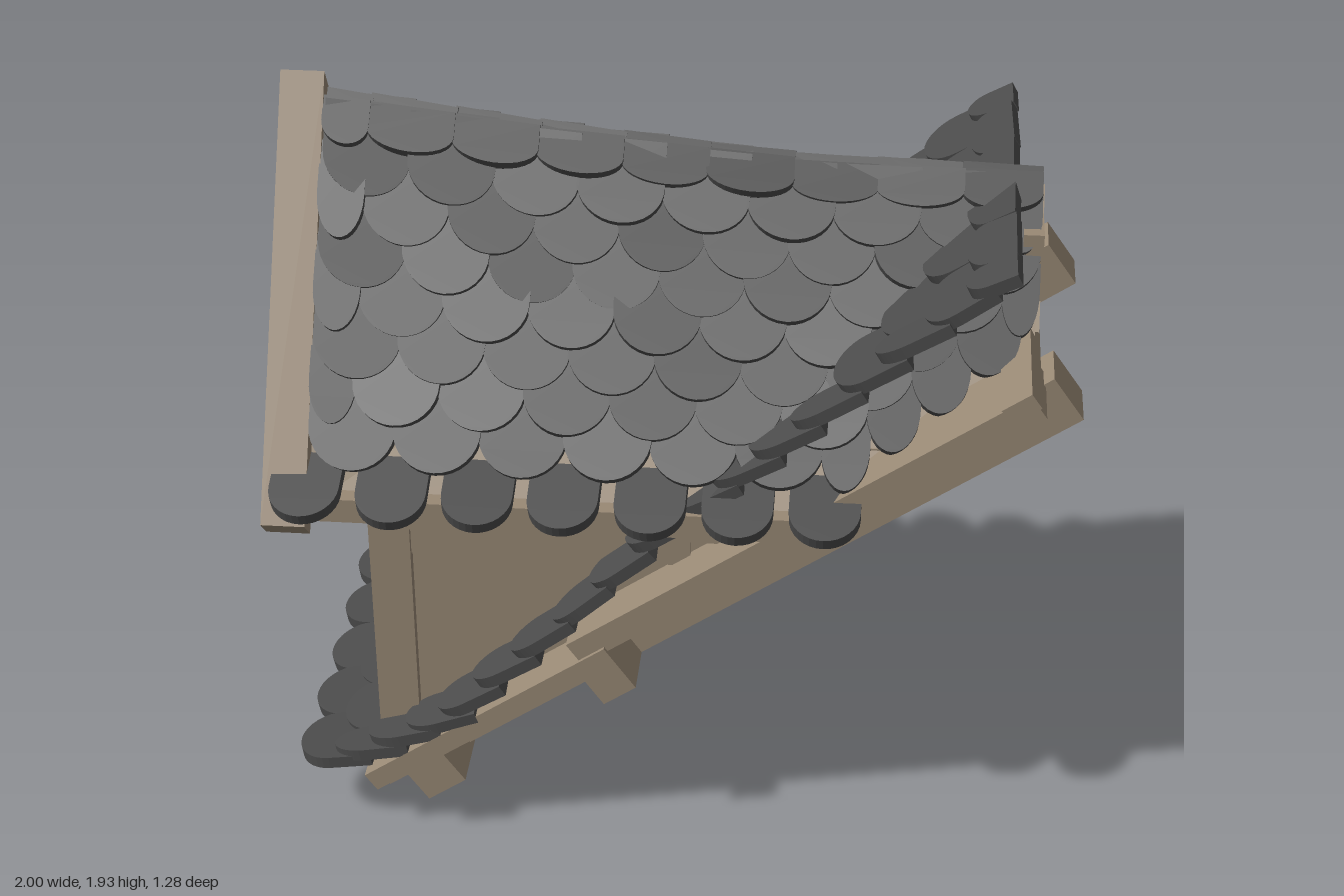
import * as THREE from 'three';
import { mergeGeometries } from 'three/addons/utils/BufferGeometryUtils.js';

const mat = (name, color) => {
  const m = new THREE.MeshStandardMaterial({ color });
  m.name = name;
  return m;
};
const V = (x, y, z) => new THREE.Vector3(x, y, z);

export function createModel() {
  const root = new THREE.Group();
  root.name = 'dormer';
  const wood = mat('wood', 0x998975);
  const slate = mat('slate', 0x4b4b4b);
  const glass = mat('glass', 0xc8c8c8);
  const lead = mat('lead', 0x4a4843);
  slate.side = wood.side = THREE.DoubleSide;

  let seed = 7;
  const rand = () => (seed = (seed * 16807) % 2147483647) / 2147483647;
  const add = (name, geo, material = wood, parent = root) => {
    const m = new THREE.Mesh(geo, material);
    m.name = name;
    parent.add(m);
    return m;
  };
  // box from its minimum and maximum corners
  const box = (name, x0, x1, y0, y1, z0, z1, material = wood, parent = root) =>
    add(name, new THREE.BoxGeometry(x1 - x0, y1 - y0, z1 - z0)
      .translate((x0 + x1) / 2, (y0 + y1) / 2, (z0 + z1) / 2), material, parent);
  const shape = (pts) => new THREE.Shape(pts.map((p) => new THREE.Vector2(...p)));
  const extrude = (s, depth) => new THREE.ExtrudeGeometry(s, { depth, bevelEnabled: false, curveSegments: 8 });
  // (z, y) outline extruded from x0 to x1
  const crossPanel = (name, s, x0, x1) =>
    add(name, extrude(s, x1 - x0).rotateY(-Math.PI / 2).translate(x1, 0, 0));
  // piecewise linear curve
  const lerpCurve = (pts) => (x) => {
    let i = 1;
    while (i < pts.length - 1 && x > pts[i][0]) i++;
    const [a, b] = [pts[i - 1], pts[i]];
    return a[1] + ((x - a[0]) / (b[0] - a[0])) * (b[1] - a[1]);
  };

  // ---- sloping base frame, built flat and tilted to the roof pitch
  const frame = new THREE.Group();
  frame.name = 'slopingFrame';
  frame.position.set(-0.8, 0, 0);
  frame.rotation.z = 0.61;
  root.add(frame);
  box('rafterLeft', 0.05, 2.2, 0, 0.135, 0.245, 0.385, wood, frame);
  box('rafterRight', 0.05, 2.2, 0, 0.135, -0.44, -0.31, wood, frame);
  box('bottomBeam', 0.2, 0.32, -0.015, 0.09, -0.53, 0.53, wood, frame);
  box('sillBeam', 0.31, 0.37, 0.08, 0.13, -0.37, 0.37, wood, frame);
  box('topBeam', 2.09, 2.175, 0.155, 0.2, -0.53, 0.53, wood, frame);
  for (const s of [-1, 1]) {
    const side = (name, x0, x1, y0, y1, za, zb) =>
      box(name, x0, x1, y0, y1, Math.min(s * za, s * zb), Math.max(s * za, s * zb), wood, frame);
    side('rafterFoot', 0, 0.28, 0, 0.12, 0.2, 0.33);
    side('lowerSideBoard', 0.1, 0.85, 0.08, 0.135, 0.32, 0.53);
    side('upperSideBoard', 0.8, 2.17, 0.125, 0.195, 0.32, 0.53);
    side('sideBlock', 0.78, 0.88, 0, 0.14, 0.38, 0.54);
  }

  // ---- window wall with an opening
  const wall = shape([[-0.4, 0.24], [0.4, 0.24], [0.4, 1.15], [0, 1.76], [-0.4, 1.15]]);
  const opening = () => new THREE.Path([[-0.19, 0.41], [-0.19, 1.06], [0.19, 1.06], [0.19, 0.41]]
    .map((p) => new THREE.Vector2(...p)));
  wall.holes.push(opening());
  crossPanel('windowWall', wall, -0.75, -0.71);
  const surround = new THREE.Shape();
  surround.moveTo(-0.27, 0.29);
  surround.lineTo(0.27, 0.29);
  surround.lineTo(0.25, 0.7);
  surround.lineTo(0.27, 1.06);
  surround.quadraticCurveTo(0.24, 1.17, 0.14, 1.18);
  surround.quadraticCurveTo(0, 1.23, -0.14, 1.18);
  surround.quadraticCurveTo(-0.24, 1.17, -0.27, 1.06);
  surround.lineTo(-0.25, 0.7);
  surround.holes.push(opening());
  crossPanel('windowSurround', surround, -0.775, -0.68);
  box('windowSill', -0.79, -0.67, 0.28, 0.36, -0.3, 0.3);

  // ---- leaded window
  box('windowGlass', -0.734, -0.728, 0.41, 1.06, -0.19, 0.19, glass);
  const bars = [];
  for (const s of [-1, 1]) {
    for (let c = 0.24; c < 1.25; c += 0.055) { // bar follows y = c + s * z
      const z0 = Math.max(-0.19, Math.min(s * (0.41 - c), s * (1.06 - c)));
      const z1 = Math.min(0.19, Math.max(s * (0.41 - c), s * (1.06 - c)));
      if (z1 - z0 < 0.01) continue;
      const zm = (z0 + z1) / 2;
      bars.push(new THREE.BoxGeometry(0.016, 0.012, (z1 - z0) * Math.SQRT2)
        .rotateX(-s * Math.PI / 4).translate(-0.731, c + s * zm, zm));
    }
  }
  add('windowLattice', mergeGeometries(bars), lead);
  for (const y of [0.59, 0.87]) {
    box('glazingBar', -0.743, -0.719, y - 0.008, y + 0.008, -0.19, 0.19, lead);
  }

  // ---- cheeks, posts and rails on both sides
  for (const s of [-1, 1]) {
    const zs = (a, b) => (s > 0 ? [a, b] : [-b, -a]);
    const cheek = shape([[-0.75, 0.18], [0.58, 1.11], [0.52, 1.16], [-0.75, 1.16]]);
    add('cheek', extrude(cheek, 0.03).translate(0, 0, s > 0 ? 0.37 : -0.4));
    box('cornerPost', -0.765, -0.66, 0.24, 1.06, ...zs(0.35, 0.43));
    box('cheekTopRail', -0.75, 0.26, 0.88, 0.98, ...zs(0.39, 0.43));
    box('cheekLowerRail', -0.75, 0.05, 0.8, 0.88, ...zs(0.39, 0.415));
    box('eaveBoard', -0.89, 0.32, 0.965, 1.03, ...zs(0.49, 0.54));
  }

  // ---- dormer roof: surface by x and t (0 at the eave, 1 at the ridge)
  const ridgeY = lerpCurve([[-0.9, 1.86], [-0.3, 1.785], [0.3, 1.725], [0.88, 1.715]]);
  const roofAt = (x, t, s) => V(x, 1.06 + (ridgeY(x) - 1.06) * t, s * 0.49 * (1 - t));
  for (const s of [-1, 1]) {
    const deck = extrude(shape([[-0.9, 0.99], [0.37, 0.99], [0.88, 1.3],
      ...[0.88, 0.3, -0.3, -0.9].map((x) => [x, ridgeY(x) - 0.02])]), 0.03);
    const p = deck.attributes.position;
    for (let i = 0; i < p.count; i++) {
      const top = ridgeY(p.getX(i)) - 0.02;
      const z = ((top - p.getY(i)) / (top - 1.02)) * 0.52;
      p.setZ(i, s * (z - 0.03) + p.getZ(i) - 0.015);
    }
    deck.computeVertexNormals();
    add('roofDeck', deck);
  }
  crossPanel('bargeboards', shape([[0, 1.935], [-0.585, 0.975], [-0.53, 0.92], [0, 1.78],
    [0.53, 0.92], [0.585, 0.975]]), -1, -0.89);
  crossPanel('rearGable', shape([[-0.21, 1.4], [0.21, 1.4], [0.16, 1.46], [0.16, 1.64],
    [0.04, 1.64], [0, 1.7], [-0.04, 1.64], [-0.16, 1.64], [-0.16, 1.46]]), 0.84, 0.89);

  // ---- one round-ended slate: width 1, length 1, tip at the origin
  const slateShape = new THREE.Shape();
  slateShape.moveTo(0.5, 1);
  slateShape.lineTo(-0.5, 1);
  slateShape.lineTo(-0.5, 0.45);
  slateShape.absellipse(0, 0.45, 0.5, 0.45, Math.PI, Math.PI * 2, false);
  const slateGeo = extrude(slateShape, 1);
  // u runs along the row, v up the slope; the tip is lifted by a slightly uneven amount
  const makeSlate = (tip, u, v, w, len, lift) => {
    const un = u.clone().normalize();
    const n = un.clone().cross(v).normalize();
    const l = lift * (0.65 + 0.7 * rand());
    un.addScaledVector(n, (rand() - 0.5) * 0.1).normalize();
    const vv = v.clone().normalize().multiplyScalar(len).addScaledVector(n, -l);
    const nn = un.clone().cross(vv).normalize();
    const m = new THREE.Matrix4().makeBasis(un.multiplyScalar(w), vv, nn.multiplyScalar(0.032));
    m.setPosition(tip.clone().addScaledVector(n, l));
    return slateGeo.clone().applyMatrix4(m);
  };
  // row of equal slates cut off at both ends
  const spans = (start, lo, hi, step) => {
    const out = [];
    for (let a = start; a < hi; a += step) {
      const x0 = Math.max(a, lo), x1 = Math.min(a + step, hi);
      if (x1 - x0 > 0.04) out.push([(x0 + x1) / 2, x1 - x0]);
    }
    return out;
  };

  // ---- dormer slates
  for (const s of [-1, 1]) {
    const list = [];
    for (let r = 0; r < 8; r++) {
      const t = 0.02 + r * 0.122;
      const y = 1.06 + 0.68 * t;
      const limit = Math.min(0.88, (y - 0.73) / 0.706);
      for (const [x, w] of spans(r % 2 ? -0.99 : -0.885, -0.89, limit, 0.21)) {
        const tip = roofAt(x, t, s);
        const v = roofAt(x, 1, s).sub(tip);
        const u = roofAt(x + 0.05, t, s).sub(roofAt(x - 0.05, t, s)).multiplyScalar(s);
        list.push(makeSlate(tip, u, v, w + 0.008, Math.min(0.24, v.length()), 0.035));
      }
    }
    // flared eave course
    for (let i = 0; i < 7; i++) {
      list.push(makeSlate(V(-0.89 + i * 0.213, 0.995, s * 0.622), V(s, 0, 0), V(0, 0.42, -s * 0.9), 0.175, 0.2, 0.015));
    }
    add('dormerSlates', mergeGeometries(list), slate);
  }

  // ---- main roof slates: apron, side strips and valleys
  const mainY = lerpCurve([[-0.97, 0.12], [-0.75, 0.205], [-0.55, 0.32], [-0.35, 0.52],
    [-0.1, 0.81], [0.05, 0.97], [0.3, 1.19], [0.55, 1.43], [0.83, 1.7]]);
  const mainList = [];
  for (let r = 0; r < 18; r++) {
    const x = -0.96 + r * 0.1;
    const tip = mainY(x);
    const v = V(0.12, mainY(x + 0.12) - tip, 0);
    const len = Math.min(0.2, ((0.83 - x) / 0.12) * v.length());
    let row;
    if (x > -0.8 && x < 0.3) row = [[-0.465, 0.13], [0.465, 0.13]];
    else {
      row = spans(r % 2 ? -0.63 : -0.525, -0.53, 0.53, 0.21);
      if (x > 0) row = row.filter(([z]) => tip + 0.06 > roofAt(x, 1 - Math.abs(z) / 0.49, 1).y);
    }
    for (const [z, w] of row) {
      mainList.push(makeSlate(V(x, tip, z), V(0, 0, 1), v, w, len, 0.035));
    }
  }
  add('mainRoofSlates', mergeGeometries(mainList), slate);
  return root;
}
